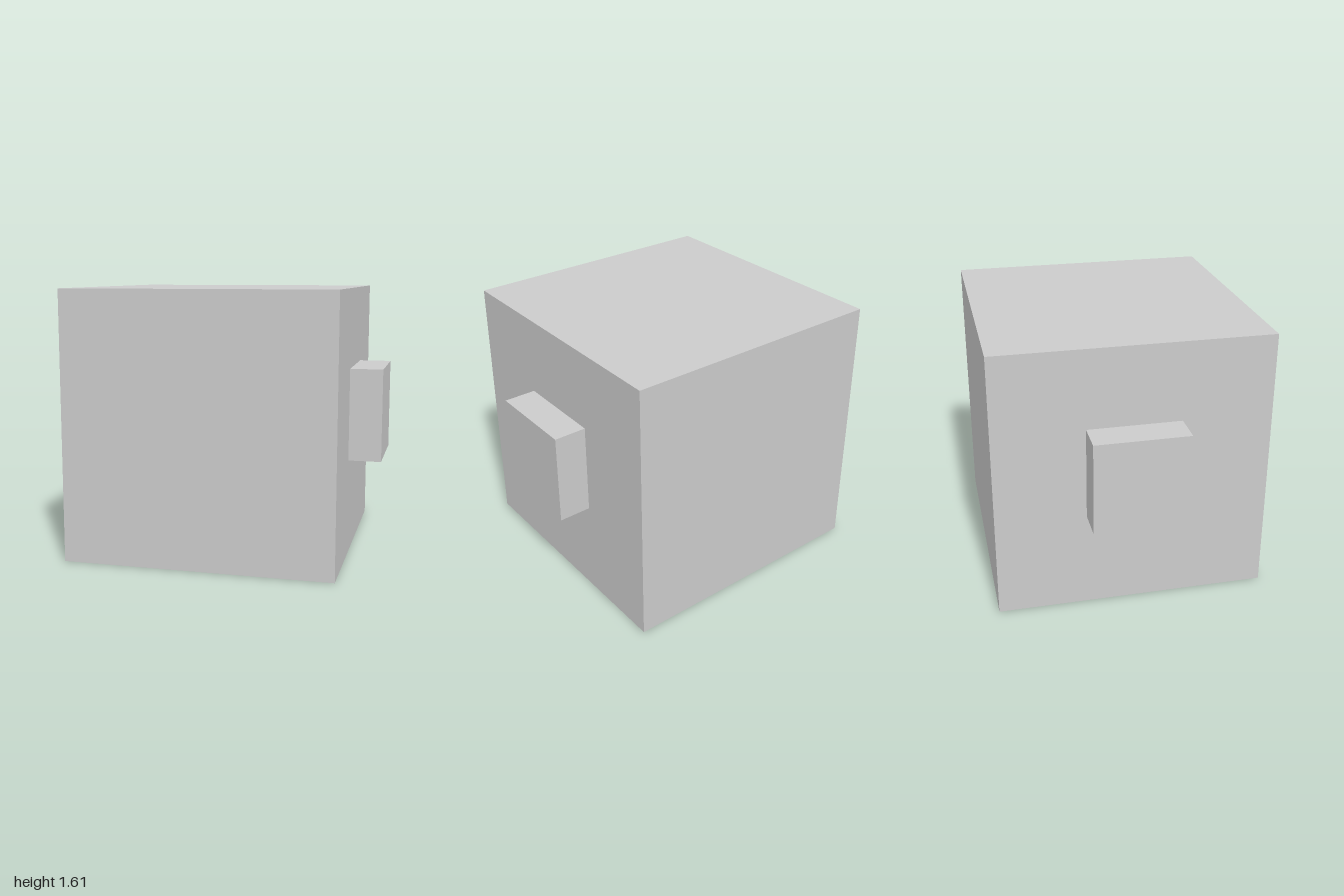
import * as THREE from 'three';

export function createModel() {
  const model = new THREE.Group();
  model.name = 'cubeWithSideBlocks';
  const material = new THREE.MeshStandardMaterial({ color: 0xcccccc, flatShading: true });

  function addBox(name, size, position) {
    const mesh = new THREE.Mesh(new THREE.BoxGeometry(...size), material);
    mesh.name = name;
    mesh.position.set(...position);
    model.add(mesh);
  }

  // Main cube, standing on the ground
  const body = 1.612;
  addBox('body', [body, body, body], [0, body / 2, 0]);

  // Square block on each side, reaching out to x = +-1
  const block = 0.552;
  const depth = 1 - body / 2;
  for (const [name, side] of [['leftBlock', 1], ['rightBlock', -1]]) {
    addBox(name, [depth, block, block], [side * (1 - depth / 2), 0.863, 0]);
  }

  return model;
}
